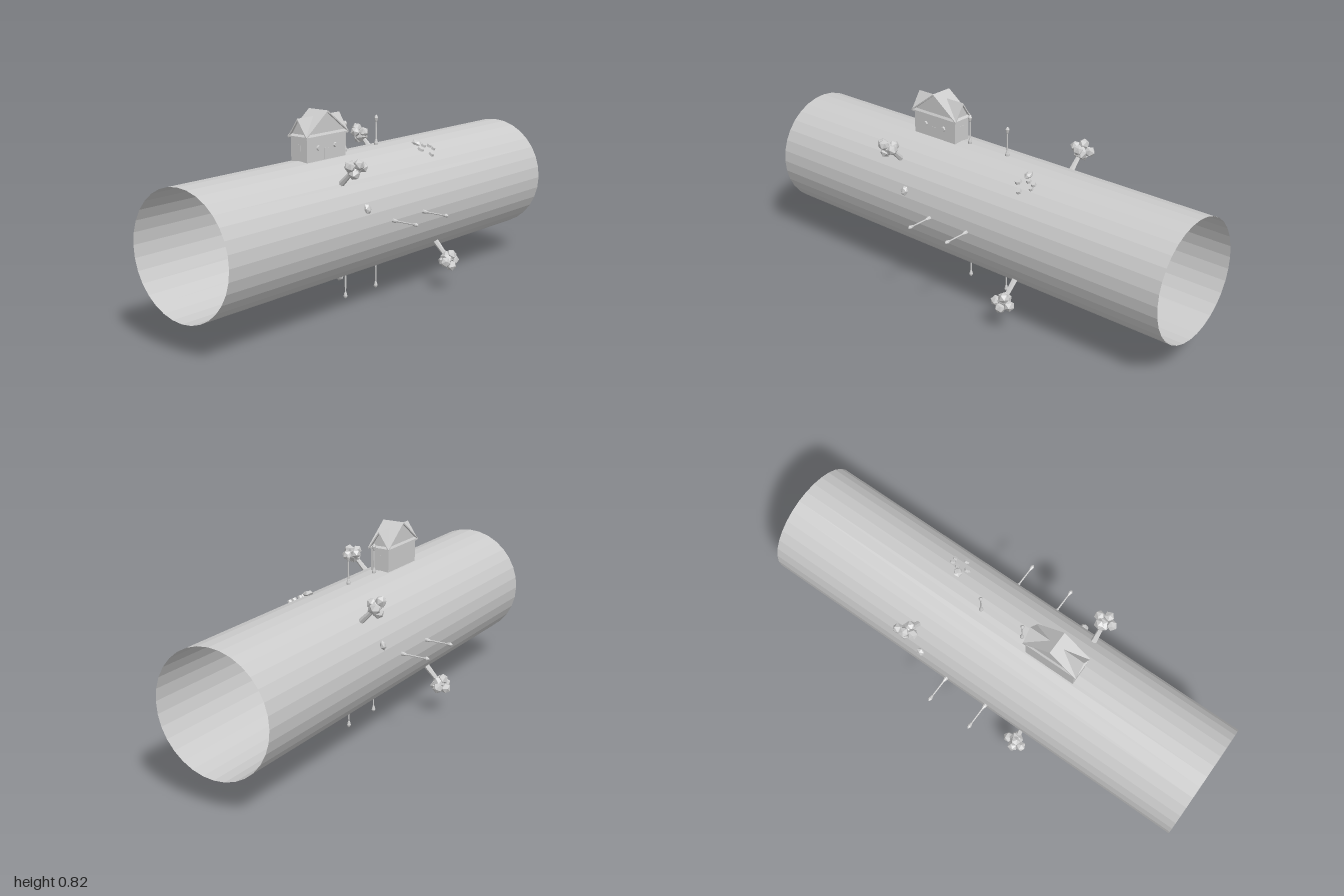
import * as THREE from 'three';

const R = 0.25, AXIS_Y = 0.38;
const mat = new THREE.MeshStandardMaterial({ color: 0xcccccc, flatShading: true, side: THREE.DoubleSide });

function mesh(name, geo, x = 0, y = 0, z = 0) {
  const m = new THREE.Mesh(geo, mat);
  m.name = name;
  m.position.set(x, y, z);
  return m;
}

// Stands a part on the tube: angle in degrees from the top towards +x
function onTube(part, angle, z) {
  const arm = new THREE.Group();
  arm.name = part.name + 'Mount';
  arm.position.set(0, AXIS_Y, z);
  arm.rotation.z = -THREE.MathUtils.degToRad(angle);
  part.position.y += R;
  arm.add(part);
  return arm;
}

function blob(name, r, x, y, z, sx = 1, sy = 1, sz = 1, turn = 0) {
  const m = mesh(name, new THREE.IcosahedronGeometry(r, 0), x, y, z);
  m.scale.set(sx, sy, sz);
  m.rotation.set(turn * 0.7, turn, 0);
  return m;
}

function makeTree(turn) {
  const tree = new THREE.Group();
  tree.name = 'tree';
  tree.add(mesh('trunk', new THREE.CylinderGeometry(0.009, 0.0125, 0.08, 6), 0, 0.04, 0));
  // Foliage clumps around the crown
  const crown = new THREE.Group();
  crown.name = 'crown';
  crown.add(blob('foliage', 0.031, 0, 0.088, 0, 1, 1, 1, 0.4));
  crown.add(blob('foliage', 0.023, 0.004, 0.126, 0.004, 1, 1, 1, 1.1));
  for (let i = 0; i < 4; i++) {
    const a = i * Math.PI / 2 + 0.35;
    crown.add(blob('foliage', 0.023, Math.cos(a) * 0.02, 0.088 + (i % 2) * 0.018, Math.sin(a) * 0.034, 1, 1, 1, i + 0.6));
  }
  crown.rotation.y = turn;
  tree.add(crown);
  return tree;
}

function makeLamp() {
  const profile = [[0.0085, 0], [0.0085, 0.008], [0.0035, 0.024], [0.003, 0.095], [0.005, 0.1], [0.0085, 0.114], [0.005, 0.121], [0, 0.126]];
  return mesh('lampPost', new THREE.LatheGeometry(profile.map(p => new THREE.Vector2(...p)), 8));
}

// Extrudes an outline along z, centred
function prism(name, points, depth) {
  const shape = new THREE.Shape(points.map(p => new THREE.Vector2(...p)));
  const geo = new THREE.ExtrudeGeometry(shape, { depth, bevelEnabled: false });
  geo.translate(0, 0, -depth / 2);
  return mesh(name, geo);
}
const gable = (w, base, eave, peak) => [[-w, base], [w, base], [w, eave], [0, peak], [-w, eave]];
const chevron = (w, eave, peak, t) => [[-w, eave], [0, peak - t], [w, eave], [w, eave + t * 0.8], [0, peak], [-w, eave + t * 0.8]];

function makeHouse() {
  const house = new THREE.Group();
  house.name = 'house';
  house.position.z = 0.26;
  house.add(prism('mainWalls', gable(0.042, 0.626, 0.724, 0.788), 0.228));
  house.add(prism('mainRoof', chevron(0.048, 0.718, 0.797, 0.009), 0.248));
  const crossWalls = prism('crossWalls', gable(0.112, 0.626, 0.73, 0.814), 0.084);
  const crossRoof = prism('crossRoof', chevron(0.124, 0.722, 0.82, 0.007), 0.1);
  crossWalls.rotation.y = crossRoof.rotation.y = Math.PI / 2;
  house.add(crossWalls, crossRoof);

  // End windows
  for (const s of [-1, 1]) {
    house.add(mesh('endWindow', new THREE.BoxGeometry(0.018, 0.026, 0.003), 0, 0.683, s * 0.114));
  }
  // Round side windows and door on the left wall
  for (const z of [-0.05, 0.05]) {
    const w = mesh('roundWindow', new THREE.CylinderGeometry(0.009, 0.011, 0.007, 8), 0.045, 0.678, z);
    w.rotation.z = -Math.PI / 2;
    house.add(w);
  }
  house.add(mesh('door', new THREE.BoxGeometry(0.003, 0.045, 0.026), 0.042, 0.65, 0));
  return house;
}

export function createModel() {
  const model = new THREE.Group();
  model.name = 'tubeWorld';

  // Open-ended tube ground
  const tube = mesh('tube', new THREE.CylinderGeometry(R, R, 2, 32, 1, true), 0, AXIS_Y, 0);
  tube.rotation.x = Math.PI / 2;
  model.add(tube, makeHouse());

  // Lamp posts: two rings of four
  for (const z of [-0.1, 0.1]) {
    for (let i = 0; i < 4; i++) model.add(onTube(makeLamp(), i * 90, z));
  }

  // Trees
  [[45, 0.33], [135, -0.29], [225, 0.25], [315, -0.29]].forEach(([a, z], i) => {
    model.add(onTube(makeTree(i * 0.15), a, z));
  });

  // Boulders
  [[73, 0.25], [287, -0.235], [168, 0.2]].forEach(([a, z], i) => {
    model.add(onTube(blob('boulder', 0.022, 0, 0.003, 0, 1, 0.6, 0.85, i * 0.5), a, z));
  });

  // Cluster of flat stones: angle, z, radius
  model.add(onTube(blob('boulder', 0.024, 0, 0.006, 0, 1, 0.5, 0.8, 0.3), 18, -0.275));
  for (const [a, z, r] of [[26, -0.325, 0.012], [31, -0.328, 0.01], [24, -0.295, 0.012], [28, -0.255, 0.016], [37, -0.285, 0.013]]) {
    model.add(onTube(mesh('flatStone', new THREE.CylinderGeometry(r * 0.8, r, 0.012, 7), 0, 0.003, 0), a, z));
  }
  return model;
}
